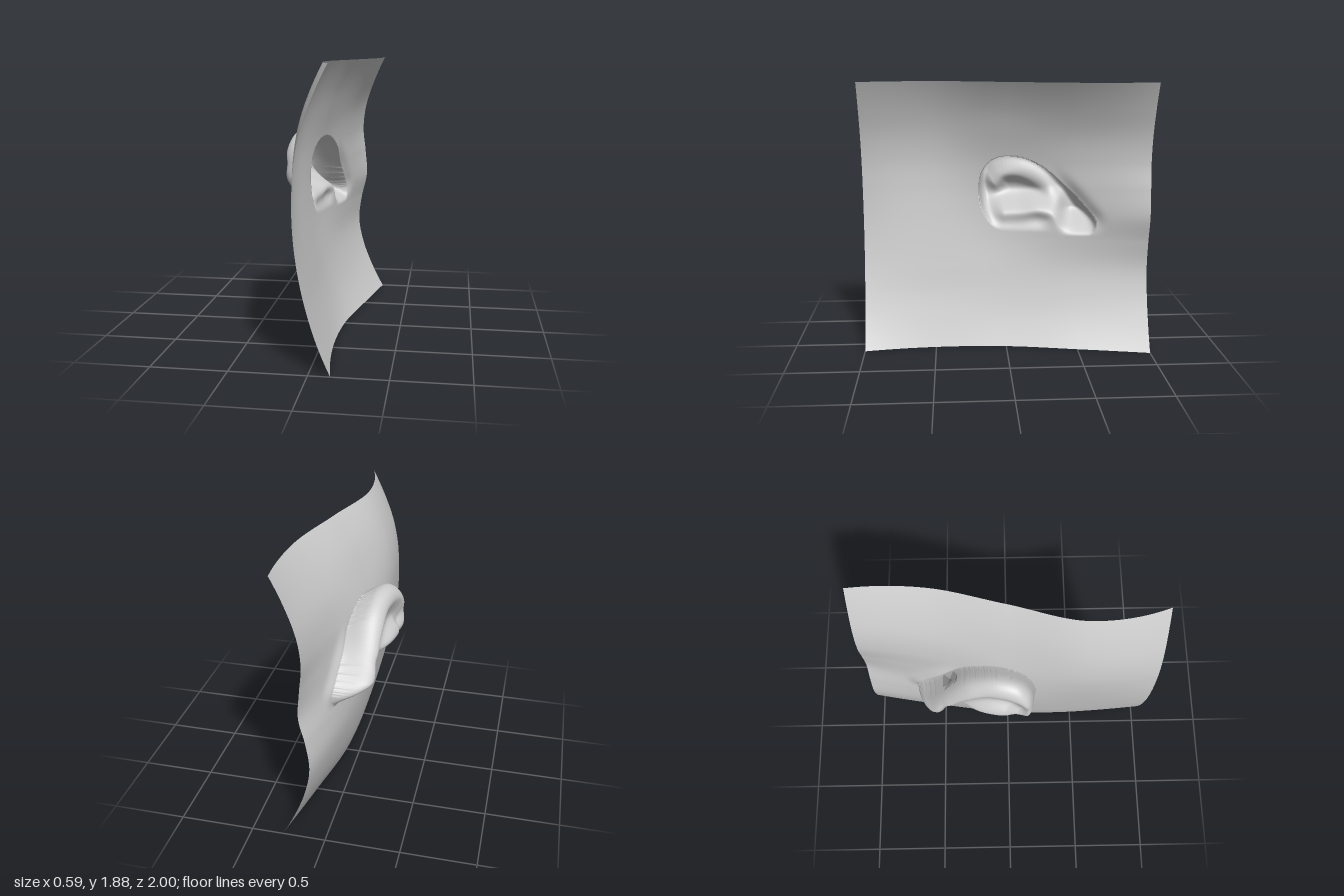
import * as THREE from 'three';

const { clamp, lerp, smoothstep } = THREE.MathUtils;
const HEIGHT = 1.88;

// Sheet profiles: x at evenly spaced heights, one row per z = -1, -0.5, 0, 0.5, 1
const PROFILES = [
  [0.29, 0.195, 0.125, 0.09, 0.11, 0.15, 0.138, 0.12, 0.143, 0.205, 0.29],
  [0.19, 0.10, 0.04, 0.005, 0.005, 0.025, 0.04, 0.055, 0.095, 0.175, 0.285],
  [0.10, 0.03, -0.02, -0.055, -0.08, -0.09, -0.085, -0.06, -0.01, 0.06, 0.165],
  [0.085, 0.025, -0.025, -0.06, -0.09, -0.115, -0.132, -0.133, -0.105, -0.045, 0.045],
  [0.14, 0.06, 0.0, -0.045, -0.075, -0.09, -0.09, -0.075, -0.035, 0.035, 0.125],
];

// Smooth interpolation through evenly spaced values
function sample(values, t) {
  const n = values.length - 1;
  const f = clamp(t, 0, 1) * n;
  const i = Math.min(Math.floor(f), n - 1);
  const u = f - i;
  const b = values[i], c = values[i + 1];
  const a = i > 0 ? values[i - 1] : 3 * b - 3 * c + values[2];
  const d = i + 2 <= n ? values[i + 2] : 3 * c - 3 * b + values[n - 2];
  return b + 0.5 * u * (c - a + u * (2 * a - 5 * b + 4 * c - d + u * (3 * (b - c) + d - a)));
}

function baseX(z, y) {
  return sample(PROFILES.map((row) => sample(row, y / HEIGHT)), (z + 1) / 2);
}

// Smooth path in the (z, y) plane
function path(points, closed = false) {
  const curve = new THREE.CatmullRomCurve3(
    points.map(([z, y]) => new THREE.Vector3(z, y, 0)), closed, 'centripetal');
  return curve.getPoints(closed ? 80 : 24);
}

function distanceTo(line, z, y) {
  let best = Infinity;
  for (let i = 0; i < line.length - 1; i++) {
    const a = line[i], b = line[i + 1];
    const ez = b.x - a.x, ey = b.y - a.y;
    const t = clamp(((z - a.x) * ez + (y - a.y) * ey) / (ez * ez + ey * ey + 1e-9), 0, 1);
    best = Math.min(best, Math.hypot(z - a.x - t * ez, y - a.y - t * ey));
  }
  return best;
}

function inside(line, z, y) {
  let odd = false;
  for (let i = 0; i < line.length - 1; i++) {
    const a = line[i], b = line[i + 1];
    if ((a.y > y) !== (b.y > y) && z < a.x + (b.x - a.x) * (y - a.y) / (b.y - a.y)) odd = !odd;
  }
  return odd;
}

// Ear outline, and the folds pressed into it
const OUTLINE = path([
  [0.06, 0.83], [0.145, 0.94], [0.18, 1.09], [0.155, 1.24], [0.08, 1.325], [-0.07, 1.347],
  [-0.24, 1.285], [-0.4, 1.155], [-0.55, 1.0], [-0.635, 0.88], [-0.61, 0.8],
  [-0.45, 0.77], [-0.2, 0.77],
], true);
const SCAPHA = path([[0.07, 1.12], [0.01, 1.19], [-0.12, 1.2], [-0.27, 1.13], [-0.37, 1.02]]);
const CONCHA = path([[0.0, 0.92], [-0.12, 0.93], [-0.24, 0.95], [-0.33, 0.92], [-0.36, 0.82]]);
const bell = (d, r) => Math.exp(-((d / r) ** 2));

// How far the ear stands out of the sheet, and how far its rim hangs over upward
function earShape(z, y) {
  if (z < -0.9 || z > 0.3 || y < 0.65 || y > 1.5) return [0, 0];
  const d = distanceTo(OUTLINE, z, y);
  const tail = smoothstep(-z, 0.3, 0.5);
  const fade = lerp(smoothstep(y, 0.8, 1.1), smoothstep(y, 0.78, 0.96), tail);
  const fillet = 0.03 * tail * fade * bell(d, 0.05);
  if (!inside(OUTLINE, z, y)) return [fillet, 0];

  const t = clamp(d / (0.06 + 0.03 * smoothstep(y, 1.15, 1.3)), 0, 1);
  const rounded = Math.sqrt(1 - (1 - t) ** 2);
  let h = (0.21 + 0.045 * bell(z + 0.36, 0.2)) * rounded * fade;
  h -= 0.065 * bell(distanceTo(SCAPHA, z, y), 0.065);
  h *= 1 - 0.9 * bell(distanceTo(CONCHA, z, y), 0.075);
  const bulge = Math.sin(Math.PI * clamp(h / 0.28, 0, 1));
  const lift = 0.08 * bulge * smoothstep(y, 0.95, 1.25) * (1 - smoothstep(d, 0.03, 0.15));
  return [h + fillet, lift];
}

export function createModel() {
  const group = new THREE.Group();
  const geometry = new THREE.PlaneGeometry(2, HEIGHT, 260, 260);
  const pos = geometry.attributes.position;
  for (let i = 0; i < pos.count; i++) {
    const z = -pos.getX(i);
    const y = pos.getY(i) + HEIGHT / 2;
    const [h, lift] = earShape(z, y);
    pos.setXYZ(i, baseX(z, y) - h, y + lift, z);
  }
  geometry.computeVertexNormals();

  const material = new THREE.MeshStandardMaterial({
    color: 0xcccccc, side: THREE.DoubleSide,
  });
  const skin = new THREE.Mesh(geometry, material);
  skin.name = 'skinPatchWithEar';
  group.add(skin);
  return group;
}
